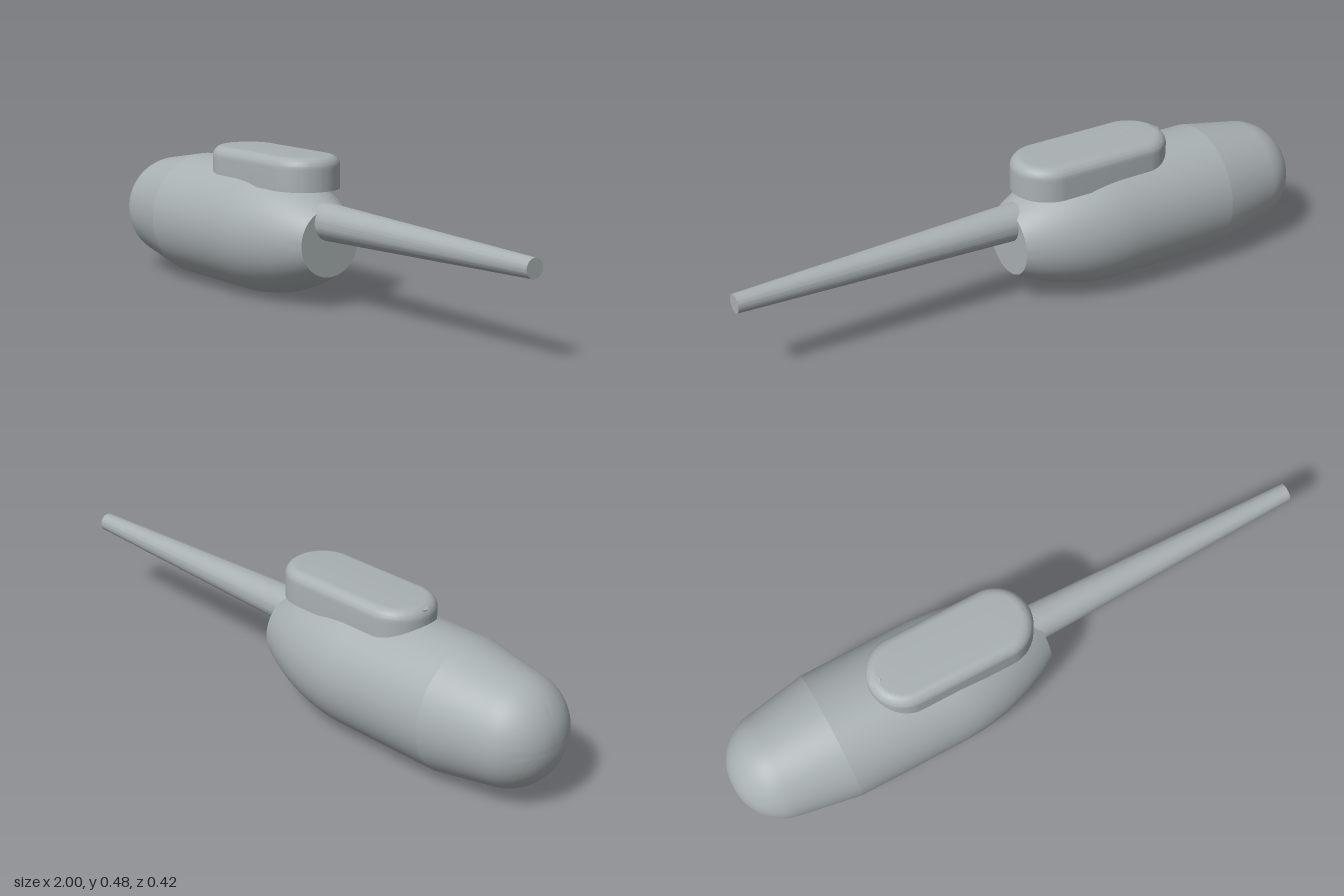
import * as THREE from 'three';
import { toCreasedNormals } from 'three/addons/utils/BufferGeometryUtils.js';

const grey = new THREE.MeshStandardMaterial({ color: 0xa9b0b2 });
grey.name = 'grey metal';

// Points on an arc, angles in radians
function arc(cx, cy, r, from, to, n) {
  return Array.from({ length: n + 1 }, (_, i) => {
    const a = from + (to - from) * i / n;
    return new THREE.Vector2(cx + r * Math.cos(a), cy + r * Math.sin(a));
  });
}

function part(group, name, geometry, crease = 0.16) {
  const mesh = new THREE.Mesh(toCreasedNormals(geometry, crease), grey);
  mesh.name = name;
  group.add(mesh);
  return mesh;
}

export function createModel() {
  const group = new THREE.Group();
  group.name = 'gunPod';
  const V = (x, y) => new THREE.Vector2(x, y);

  // Main body: profile is (radius, station along x), turned to lie along x
  const R = 0.735;
  const bodyProfile = [
    V(0, -1),
    ...arc(0.008, -0.83, 0.17, -Math.PI / 2, -0.175, 18),
    V(0.21, -0.66),
    ...arc(0.21 - R, -0.3, R, 0, Math.asin(0.37 / R), 14),
    V(0, 0.07),
  ];
  const body = new THREE.LatheGeometry(bodyProfile, 80);
  body.rotateZ(-Math.PI / 2);
  part(group, 'body', body).position.y = 0.21;

  // Tapered barrel, set above the body axis
  const barrel = new THREE.CylinderGeometry(0.03, 0.062, 1, 40);
  barrel.rotateZ(-Math.PI / 2);
  part(group, 'barrel', barrel, 0.3).position.set(0.5, 0.276, 0);

  // Top fairing: a rounded drum split in half and stretched along x
  const r = 0.117, fillet = 0.035, bottom = 0.369, top = 0.476, segments = 80;
  const fairingProfile = [
    V(1e-5, bottom),
    V(r, bottom),
    ...arc(r - fillet, top - fillet, fillet, 0, Math.PI / 2, 14),
    V(1e-5, top),
  ];
  const fairing = new THREE.LatheGeometry(fairingProfile, segments, Math.PI / segments);
  const p = fairing.attributes.position;
  for (let i = 0; i < p.count; i++) p.setX(i, p.getX(i) + Math.sign(p.getX(i)) * 0.158);
  part(group, 'topFairing', fairing).position.x = -0.23;

  // Small round port on the rear rim of the fairing
  const port = part(group, 'rearPort', new THREE.CylinderGeometry(0.018, 0.018, 0.008, 24), 0.4);
  port.position.set(-0.481, 0.4685, 0);
  port.rotation.z = 0.34;

  return group;
}
